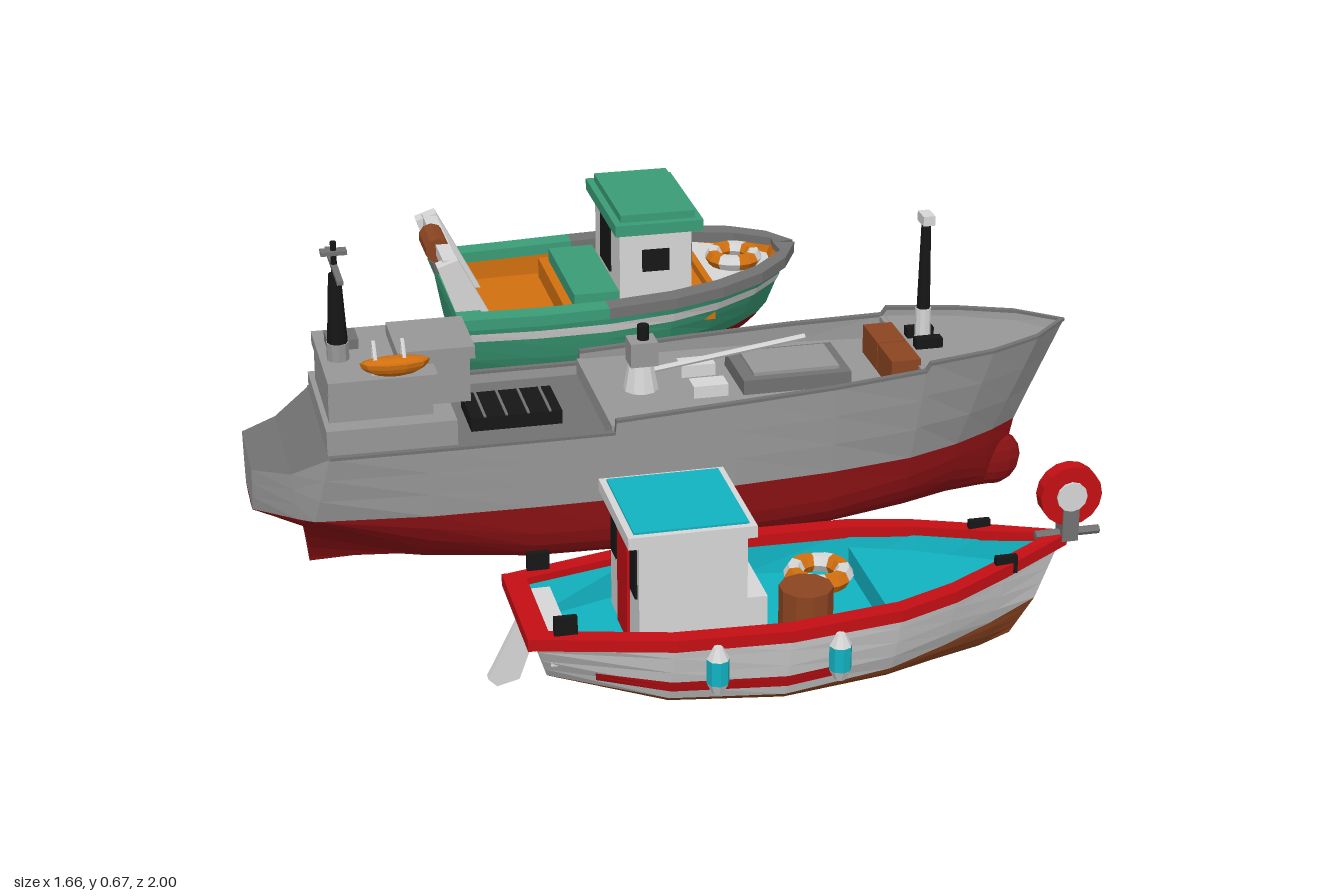
import * as THREE from 'three';

const mat = (name, color) => new THREE.MeshStandardMaterial({ name, color, flatShading: true, side: THREE.DoubleSide });
const M = {
  grey: mat('hull grey', 0x979797), dark: mat('dark grey', 0x727272), white: mat('off white', 0xd6d6d6),
  red: mat('trim red', 0xc40f14), maroon: mat('bottom red', 0x8a1114), black: mat('black', 0x161616),
  cyan: mat('cyan', 0x12b3c2), orange: mat('orange', 0xd2700f), brown: mat('brown', 0x8c4521), green: mat('green', 0x3a9c77),
};
const V = (x, y, z) => new THREE.Vector3(x, y, z);
const lerp = THREE.MathUtils.lerp;

function add(g, name, geo, m, x = 0, y = 0, z = 0) {
  const mesh = new THREE.Mesh(geo, m);
  mesh.name = name;
  mesh.position.set(x, y, z);
  g.add(mesh);
  return mesh;
}
const box = (g, name, m, x0, x1, y0, y1, z0, z1) =>
  add(g, name, new THREE.BoxGeometry(x1 - x0, y1 - y0, z1 - z0), m, (x0 + x1) / 2, (y0 + y1) / 2, (z0 + z1) / 2);
const cyl = (g, name, m, x, y0, y1, z, r0, r1 = r0, n = 10) =>
  add(g, name, new THREE.CylinderGeometry(r1, r0, y1 - y0, n), m, x, (y0 + y1) / 2, z);
function rod(g, name, m, a, b, r, n = 6) {
  const d = b.clone().sub(a);
  const mesh = add(g, name, new THREE.CylinderGeometry(r, r, d.length(), n), m);
  mesh.position.copy(a).add(b).multiplyScalar(0.5);
  mesh.quaternion.setFromUnitVectors(V(0, 1, 0), d.normalize());
}

// Surface through rows of points
function loft(g, name, rows, m) {
  const n = rows[0].length, idx = [];
  for (let i = 0; i < rows.length - 1; i++)
    for (let j = 0; j < n - 1; j++) {
      const a = i * n + j, b = a + n;
      idx.push(a, b, a + 1, b, b + 1, a + 1);
    }
  const geo = new THREE.BufferGeometry().setFromPoints(rows.flat());
  geo.setIndex(idx);
  geo.computeVertexNormals();
  return add(g, name, geo, m);
}

// Station: x at keel, waterline, sheer; y at the same; half widths at waterline, sheer; roundness
// v runs 0 keel, 1 waterline, 2 sheer
function hullPoint([xk, xw, xs, yk, yw, ys, w, s, e], v, side, out = 0) {
  if (v <= 1) {
    const a = v * Math.PI / 2, up = 1 - Math.max(0, Math.cos(a)) ** e;
    return V(lerp(xk, xw, up), lerp(yk, yw, up), side * (w * Math.sin(a) ** e + (v ? out : 0)));
  }
  const t = v - 1;
  return V(lerp(xw, xs, t), lerp(yw, ys, t), side * (lerp(w, s, t ** 0.75) + out));
}
const sides = [1, -1];
function band(g, name, st, v0, v1, n, m, out = 0) {
  for (const k of sides)
    loft(g, name, st.map(p => Array.from({ length: n + 1 }, (_, j) => hullPoint(p, lerp(v0, v1, j / n), k, out))), m);
}
function transom(g, st, lower, upper) {
  [[0, 1, lower], [1, 2, upper]].forEach(([a, b, m]) =>
    loft(g, 'transom', sides.map(k => Array.from({ length: 7 }, (_, j) => hullPoint(st, lerp(a, b, j / 6), k))), m));
}
// Point inside the bulwark at height y
function inner(p, y, inset, k) {
  const t = THREE.MathUtils.clamp((y - p[4]) / (p[5] - p[4]), 0, 1);
  const z = Math.min(p[7] - inset, hullPoint(p, 1 + t, 1).z - 0.008);
  return V(lerp(p[1], p[2], t) - (z < 0 ? inset : 0), y, k * Math.max(0, z));
}
const deck = (g, name, st, y, inset, m) => loft(g, name, st.map(p => sides.map(k => inner(p, y, inset, k))), m);
function bulwark(g, name, st, y, inset, m) {
  for (const k of sides) loft(g, name, st.map(p => [inner(p, p[5], inset, k), inner(p, y, inset, k)]), m);
}
// Rail of rectangular section along the sheer
function gunwale(g, st, inset, out, h, m) {
  for (const k of sides)
    loft(g, 'gunwale', st.map(p => {
      const zi = Math.max(0, p[7] - inset), zo = p[7] + out, y = p[5];
      const xi = p[2] - (p[7] < inset ? inset : 0), xo = p[2] + (p[7] < inset ? out : 0);
      return [V(xi, y - h, k * zi), V(xo, y - h, k * zo), V(xo, y + h, k * zo), V(xi, y + h, k * zi), V(xi, y - h, k * zi)];
    }), m);
}
function lifeRing(g, x, y, z) {
  const ring = new THREE.Group();
  ring.name = 'lifeRing';
  for (let i = 0; i < 8; i++) {
    const part = add(ring, 'ringSegment', new THREE.TorusGeometry(0.046, 0.018, 6, 2, Math.PI / 4), i % 2 ? M.white : M.orange);
    part.rotation.z = i * Math.PI / 4;
  }
  ring.rotation.x = -Math.PI / 2;
  ring.position.set(x, y, z);
  g.add(ring);
}

function cargoShip() {
  const g = new THREE.Group();
  g.name = 'cargoShip';
  const st = [
    [-.83, -.83, -.83, .148, .155, .25, .065, .092, 1],
    [-.73, -.75, -.76, .1, .155, .255, .13, .14, 1.2],
    [-.72, -.72, -.69, 0, .155, .295, .15, .178, 2.6],
    [-.5, -.5, -.5, .005, .155, .295, .175, .181, 1.1],
    [-.3, -.3, -.3, .01, .155, .295, .18, .182, .6],
    [-.14, -.14, -.14, .01, .155, .295, .18, .182, .55],
    [-.138, -.138, -.138, .01, .155, .32, .18, .182, .55],
    [.1, .1, .1, .01, .158, .333, .178, .18, .55],
    [.3, .3, .3, .012, .16, .343, .165, .174, .6],
    [.47, .47, .49, .015, .16, .353, .135, .157, .8],
    [.475, .475, .5, .015, .16, .368, .133, .156, .8],
    [.58, .58, .64, .018, .16, .368, .092, .124, 1],
    [.66, .67, .75, .02, .162, .37, .045, .075, 1],
    [.7, .73, .83, .02, .165, .372, .006, 0, 1],
  ];
  band(g, 'bottom', st, 0, 1, 7, M.maroon);
  band(g, 'topsides', st, 1, 2, 3, M.grey);
  transom(g, st[0], M.maroon, M.grey);
  add(g, 'bulb', new THREE.SphereGeometry(1, 12, 8), M.maroon, .69, .08, 0).scale.set(.06, .06, .032);
  // Decks
  loft(g, 'sternDeck', st.slice(0, 3).map(p => sides.map(k => V(p[2], p[5], k * p[7]))), M.dark);
  deck(g, 'aftDeck', st.slice(2, 6), .272, .01, M.dark);
  bulwark(g, 'aftBulwark', st.slice(2, 6), .272, .01, M.grey);
  deck(g, 'cargoDeck', st.slice(6, 10), .305, .01, M.grey);
  bulwark(g, 'cargoBulwark', st.slice(6, 10), .305, .01, M.grey);
  deck(g, 'foreDeck', st.slice(10), .352, .01, M.grey);
  bulwark(g, 'foreBulwark', st.slice(10), .352, .01, M.grey);
  gunwale(g, st.slice(2), .011, .001, .003, M.dark);
  box(g, 'deckStep', M.grey, -.145, -.135, .26, .307, -.172, .172);
  box(g, 'foreStep', M.grey, .485, .495, .3, .352, -.148, .148);
  // Superstructure
  box(g, 'lowerHouse', M.grey, -.69, -.44, .27, .34, -.15, .15);
  box(g, 'middleHouse', M.grey, -.68, -.48, .34, .405, -.11, .11);
  box(g, 'houseRoof', M.grey, -.68, -.47, .4, .425, -.15, .12);
  box(g, 'bridge', M.grey, -.53, -.4, .34, .45, -.08, .065);
  box(g, 'bridgeRoof', M.grey, -.54, -.39, .43, .455, -.09, .07);
  box(g, 'funnelBox', M.dark, -.66, -.6, .425, .445, -.1, -.04);
  box(g, 'aftHatch', M.black, -.4, -.22, .272, .3, -.065, .06);
  for (let i = 0; i < 4; i++) box(g, 'hatchRib', M.dark, -.375 + i * .043, -.37 + i * .043, .3, .303, -.065, .06);
  // Main mast
  cyl(g, 'mastBase', M.grey, -.645, .42, .46, 0, .022);
  cyl(g, 'mainMast', M.black, -.645, .46, .6, 0, .02, .012, 8);
  cyl(g, 'topMast', M.black, -.645, .6, .665, 0, .006);
  box(g, 'crosstree', M.dark, -.651, -.639, .612, .62, -.095, .095);
  box(g, 'radar', M.dark, -.67, -.62, .64, .648, -.012, .012);
  // Lifeboat with davits
  const boat = add(g, 'lifeboat', new THREE.SphereGeometry(1, 10, 5, 0, Math.PI * 2, Math.PI / 2, Math.PI / 2), M.orange, -.553, .465, .13);
  boat.scale.set(.067, .03, .025);
  add(g, 'lifeboatCover', new THREE.SphereGeometry(1, 10, 4, 0, Math.PI * 2, 0, Math.PI / 2), M.orange, -.553, .465, .13).scale.set(.062, .008, .022);
  for (const x of [-.59, -.535]) {
    rod(g, 'davit', M.white, V(x, .42, .095), V(x, .5, .11), .004);
    rod(g, 'davitArm', M.white, V(x, .5, .11), V(x, .47, .135), .004);
  }
  // Crane and cargo gear
  cyl(g, 'craneBase', M.white, -.05, .305, .36, 0, .035, .025);
  box(g, 'craneHead', M.grey, -.075, -.02, .36, .41, -.025, .025);
  cyl(g, 'cranePost', M.black, -.045, .41, .44, 0, .012);
  rod(g, 'craneJib', M.white, V(-.04, .34, 0), V(.285, .385, 0), .006);
  for (const k of sides) box(g, 'vent', M.white, .04, .11, .305, .33, k * .053 - .022, k * .053 + .022);
  box(g, 'cargoHatch', M.dark, .14, .36, .305, .335, -.075, .08);
  box(g, 'hatchCover', M.grey, .165, .34, .335, .342, -.055, .06);
  box(g, 'container', M.brown, .43, .49, .305, .365, -.08, .02);
  box(g, 'container', M.brown, .43, .49, .305, .365, .024, .12);
  // Fore mast
  cyl(g, 'foreMastBase', M.white, .53, .352, .425, 0, .016);
  cyl(g, 'foreMast', M.black, .53, .425, .605, 0, .014, .01, 8);
  box(g, 'mastLight', M.white, .518, .542, .605, .625, -.02, .02);
  for (const k of sides) box(g, 'bollard', M.black, .505, .56, .352, .372, k * .03 - .012, k * .03 + .012);
  return g;
}

function redTrimBoat() {
  const g = new THREE.Group();
  g.name = 'redTrimBoat';
  const st = [
    [-.38, -.4, -.43, .13, .145, .247, .05, .12, 1.2],
    [-.2, -.2, -.2, .078, .115, .247, .125, .178, 1.3],
    [0, 0, 0, .065, .112, .25, .15, .193, 1.3],
    [.2, .2, .2, .064, .122, .257, .12, .175, 1.3],
    [.3, .31, .31, .068, .133, .263, .08, .138, 1.3],
    [.4, .41, .42, .08, .148, .27, .042, .08, 1.3],
    [.46, .505, .55, .1, .165, .28, 0, 0, 1],
  ];
  band(g, 'bottom', st, 0, 1, 5, M.brown);
  band(g, 'topsides', st, 1, 2, 4, M.white);
  transom(g, st[0], M.brown, M.white);
  // Red stripe on the aft topsides
  const mix = (a, b, t) => a.map((v, i) => lerp(v, b[i], t));
  band(g, 'stripe', [mix(st[0], st[1], .4), st[1], st[2], mix(st[2], st[3], .5)], 1.17, 1.34, 2, M.red, .003);
  gunwale(g, st, .025, .008, .011, M.red);
  box(g, 'sternRail', M.red, -.445, -.405, .236, .258, -.127, .127);
  bulwark(g, 'innerHull', st, .185, .024, M.cyan);
  deck(g, 'deck', st, .185, .024, M.cyan);
  deck(g, 'foreDeck', st.slice(3), .228, .024, M.cyan);
  box(g, 'foreStep', M.cyan, .198, .204, .185, .229, -.148, .148);
  box(g, 'sternBench', M.white, -.4, -.365, .185, .24, -.095, .095);
  // Wheelhouse
  box(g, 'cabin', M.white, -.25, -.06, .185, .41, -.115, .115);
  box(g, 'cabinFrontLedge', M.white, -.06, -.02, .185, .28, -.1, .1);
  box(g, 'roof', M.white, -.27, -.045, .405, .427, -.122, .122);
  box(g, 'roofPanel', M.cyan, -.258, -.057, .425, .431, -.11, .11);
  for (const k of sides) {
    box(g, 'frontWindow', M.black, -.062, -.056, .295, .395, k * .055 - .034, k * .055 + .034);
    box(g, 'backWindow', M.black, -.254, -.248, .3, .39, k * .078 - .022, k * .078 + .022);
  }
  box(g, 'door', M.red, -.255, -.248, .19, .39, -.04, .04);
  // Deck gear
  lifeRing(g, .13, .205, -.105);
  cyl(g, 'barrel', M.brown, .06, .185, .27, .06, .048, .048, 10);
  for (const k of sides) {
    for (const x of [-.135, .08]) {
      cyl(g, 'fender', M.cyan, x, .185, .23, k * .21, .02, .02, 8);
      cyl(g, 'fenderTop', M.white, x, .23, .252, k * .21, .02, .008, 8);
      cyl(g, 'fenderTip', M.white, x, .165, .185, k * .21, .01, .02, 8);
    }
    for (const [x, z] of [[-.38, .125], [.42, .075]]) box(g, 'cleat', M.black, x - .02, x + .02, .262, .295, k * z - .006, k * z + .006);
  }
  // Bow hauler wheel
  rod(g, 'bowRod', M.dark, V(.5, .29, 0), V(.62, .29, 0), .008);
  box(g, 'wheelBracket', M.dark, .545, .575, .28, .37, -.018, .018);
  rod(g, 'haulerWheel', M.red, V(.56, .367, -.014), V(.56, .367, .014), .057, 16);
  rod(g, 'wheelHub', M.white, V(.56, .367, -.019), V(.56, .367, .019), .028, 12);
  // Rudder
  const blade = new THREE.Shape([[-.42, .24], [-.44, .235], [-.495, .125], [-.48, .11], [-.44, .12], [-.415, .19]].map(p => new THREE.Vector2(...p)));
  add(g, 'rudder', new THREE.ExtrudeGeometry(blade, { depth: .016, bevelEnabled: false }), M.white, 0, 0, -.008);
  g.position.z = .77;
  return g;
}

function greenBoat() {
  const g = new THREE.Group();
  g.name = 'greenBoat';
  const st = [
    [-.29, -.3, -.32, .085, .115, .245, .165, .215, 1.5],
    [-.15, -.15, -.15, .07, .112, .246, .18, .225, 1.5],
    [0, 0, 0, .065, .112, .25, .185, .228, 1.5],
    [.14, .14, .15, .066, .118, .257, .16, .22, 1.5],
    [.23, .24, .26, .07, .125, .263, .12, .193, 1.5],
    [.3, .32, .36, .08, .135, .27, .08, .145, 1.5],
    [.34, .38, .43, .09, .145, .276, .04, .08, 1.5],
    [.36, .41, .465, .1, .15, .28, 0, 0, 1],
  ];
  band(g, 'bottom', st, 0, 1, 5, M.maroon);
  band(g, 'topsides', st, 1, 2, 4, M.green);
  transom(g, st[0], M.maroon, M.green);
  band(g, 'whiteStripe', st, 1.65, 1.8, 1, M.white, .004);
  gunwale(g, st.slice(0, 3), .04, .007, .012, M.green);
  gunwale(g, st.slice(2), .04, .007, .012, M.dark);
  box(g, 'sternRail', M.green, -.325, -.27, .233, .257, -.22, .22);
  bulwark(g, 'innerHull', st, .19, .038, M.orange);
  deck(g, 'deck', st, .19, .038, M.orange);
  deck(g, 'foreDeck', st.slice(4), .252, .035, M.white);
  box(g, 'foreStep', M.orange, .245, .26, .19, .253, -.155, .155);
  box(g, 'coaming', M.orange, -.08, .25, .19, .235, -.17, .17);
  box(g, 'engineCover', M.green, -.06, .04, .235, .265, -.147, .147);
  // Wheelhouse
  box(g, 'cabin', M.white, .045, .205, .235, .405, -.13, .13);
  box(g, 'roof', M.green, .03, .225, .395, .42, -.16, .16);
  box(g, 'roofTop', M.green, .045, .21, .42, .437, -.142, .142);
  box(g, 'frontWindow', M.black, .203, .209, .3, .352, -.12, .12);
  box(g, 'cabinDoor', M.black, .041, .047, .27, .375, -.06, .04);
  for (const k of sides) box(g, 'sideWindow', M.black, .095, .155, .3, .35, k * .131 - .003, k * .131 + .003);
  lifeRing(g, .33, .272, .01);
  // Stern gantry
  const leg = new THREE.Shape([[-.3, .19], [-.22, .19], [-.315, .375], [-.36, .36]].map(p => new THREE.Vector2(...p)));
  for (const k of sides)
    add(g, 'gantryLeg', new THREE.ExtrudeGeometry(leg, { depth: .035, bevelEnabled: false }), M.white, 0, 0, k * .15 - .0175);
  box(g, 'gantryBeam', M.white, -.345, -.315, .345, .37, -.15, .15);
  rod(g, 'winchDrum', M.brown, V(-.34, .355, -.05), V(-.34, .355, .05), .028, 10);
  rod(g, 'winchCable', M.dark, V(-.335, .35, 0), V(-.335, .3, 0), .005);
  cyl(g, 'pulley', M.dark, -.335, .285, .315, 0, .008, .018, 8);
  g.position.z = -.765;
  return g;
}

export function createModel() {
  const group = new THREE.Group();
  group.name = 'threeBoats';
  group.add(cargoShip(), redTrimBoat(), greenBoat());
  return group;
}
